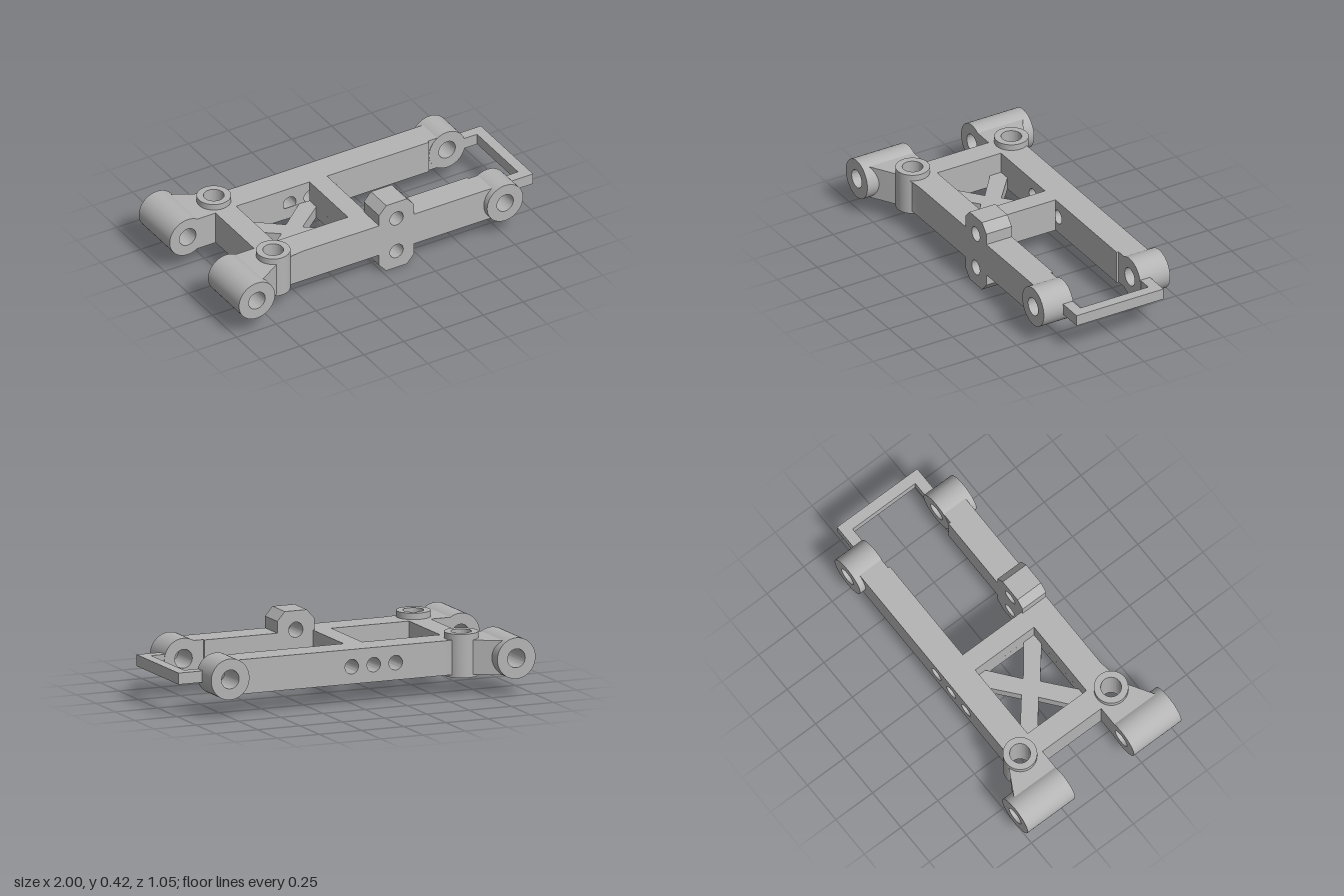
import * as THREE from 'three';
import { toCreasedNormals } from 'three/addons/utils/BufferGeometryUtils.js';

const MID = 0.21, LOW = 0.115, HIGH = 0.305;   // arm centre, underside and top

function polygon(points, holes = []) {
  const shape = new THREE.Shape(points.map(([a, b]) => new THREE.Vector2(a, b)));
  for (const [a, b, r] of holes) shape.holes.push(new THREE.Path().absarc(a, b, r, 0, Math.PI * 2, true));
  return shape;
}

function ring(a, b, outer, inner) {
  const shape = new THREE.Shape().absarc(a, b, outer, 0, Math.PI * 2, false);
  shape.holes.push(new THREE.Path().absarc(a, b, inner, 0, Math.PI * 2, true));
  return shape;
}

function extrude(shape, depth) {
  return new THREE.ExtrudeGeometry(shape, { depth, bevelEnabled: false, curveSegments: 24 });
}

// Front outline (x, y) swept between two z values
function alongZ(shape, z0, z1) {
  const near = Math.min(z0, z1);
  return toCreasedNormals(extrude(shape, Math.abs(z1 - z0)).translate(0, 0, near), 0.6);
}

// Plan outline (x, z) swept between two heights
function alongY(shape, y0, y1) {
  return toCreasedNormals(extrude(shape, y1 - y0).rotateX(Math.PI / 2).translate(0, y1, 0), 0.6);
}

function box(x0, x1, y0, y1, z0, z1) {
  return new THREE.BoxGeometry(x1 - x0, y1 - y0, Math.abs(z1 - z0))
    .translate((x0 + x1) / 2, (y0 + y1) / 2, (z0 + z1) / 2);
}

export function createModel() {
  const model = new THREE.Group();
  model.name = 'linkArmFrame';
  const grey = new THREE.MeshStandardMaterial({ color: 0xb4b4b4 });
  grey.name = 'plain grey';

  const add = (name, geometry) => {
    const mesh = new THREE.Mesh(geometry, grey);
    mesh.name = name;
    model.add(mesh);
  };

  // Front arm outline with the eight-sided clamp block and its two bolt holes
  const frontOutline = polygon([
    [-0.5, LOW], [-0.02, LOW], [-0.02, 0.05], [0.025, 0], [0.155, 0], [0.2, 0.05], [0.2, LOW],
    [0.63, LOW], [0.63, HIGH], [0.2, HIGH], [0.2, 0.37], [0.155, 0.42], [0.025, 0.42],
    [-0.02, 0.37], [-0.02, HIGH], [-0.5, HIGH],
  ], [[0.09, 0.315, 0.042], [0.09, 0.105, 0.042]]);

  // Back arm outline with three cross holes
  const backOutline = polygon(
    [[-0.5, LOW], [0.63, LOW], [0.63, HIGH], [-0.5, HIGH]],
    [0.015, -0.115, -0.245].map((x) => [x, MID, 0.04]),
  );

  for (const [side, s, outline] of [['front', 1, frontOutline], ['back', -1, backOutline]]) {
    add(side + 'Arm', alongZ(outline, s * 0.2, s * 0.36));
    add(side + 'ArmTip', box(0.63, 0.69, LOW, HIGH, s * 0.212, s * 0.36));

    // Arm root widened by a gusset, open around the upright bore
    const root = polygon(
      [[-0.825, 0.2], [-0.5, 0.2], [-0.5, 0.36], [-0.63, 0.36], [-0.69, 0.4], [-0.825, 0.483]]
        .map(([x, z]) => [x, s * z]),
      [[-0.655, s * 0.31, 0.07]],
    );
    add(side + 'ArmRoot', alongY(root, LOW, HIGH));

    // Pivot barrels and upright boss
    add(side + 'WideBarrel', alongZ(ring(-0.885, MID, 0.113, 0.052), s * 0.2, s * 0.523));
    add(side + 'NarrowBarrel', alongZ(ring(0.75, MID, 0.113, 0.052), s * 0.21, s * 0.396));
    add(side + 'UprightBoss', alongY(ring(-0.655, s * 0.31, 0.093, 0.056), 0.1, 0.34));

    // Side of the end loop
    add(side + 'LoopSide', box(0.845, 0.94, 0.18, 0.243, s * 0.213, s * 0.273));
  }
  add('loopBar', box(0.94, 1, 0.18, 0.243, -0.273, 0.273));

  // Cross members between the arms
  add('rootCrossbar', box(-0.71, -0.58, LOW, HIGH, -0.2, 0.2));
  add('middleCrossbar', box(-0.12, -0.01, LOW, HIGH, -0.2, 0.2));

  // Low X brace: a plate with four triangular openings
  const cx = -0.35;
  const brace = polygon([[-0.58, -0.2], [-0.12, -0.2], [-0.12, 0.2], [-0.58, 0.2]]);
  for (const s of [1, -1]) {
    const openings = [
      [[cx + s * 0.2299, -0.13], [cx + s * 0.2299, 0.13], [cx + s * 0.067, 0]],
      [[cx - 0.163, s * 0.1999], [cx + 0.163, s * 0.1999], [cx, s * 0.064]],
    ];
    for (const points of openings) {
      brace.holes.push(new THREE.Path(points.map(([a, b]) => new THREE.Vector2(a, b))));
    }
  }
  add('crossBrace', alongY(brace, LOW, 0.185));

  return model;
}
